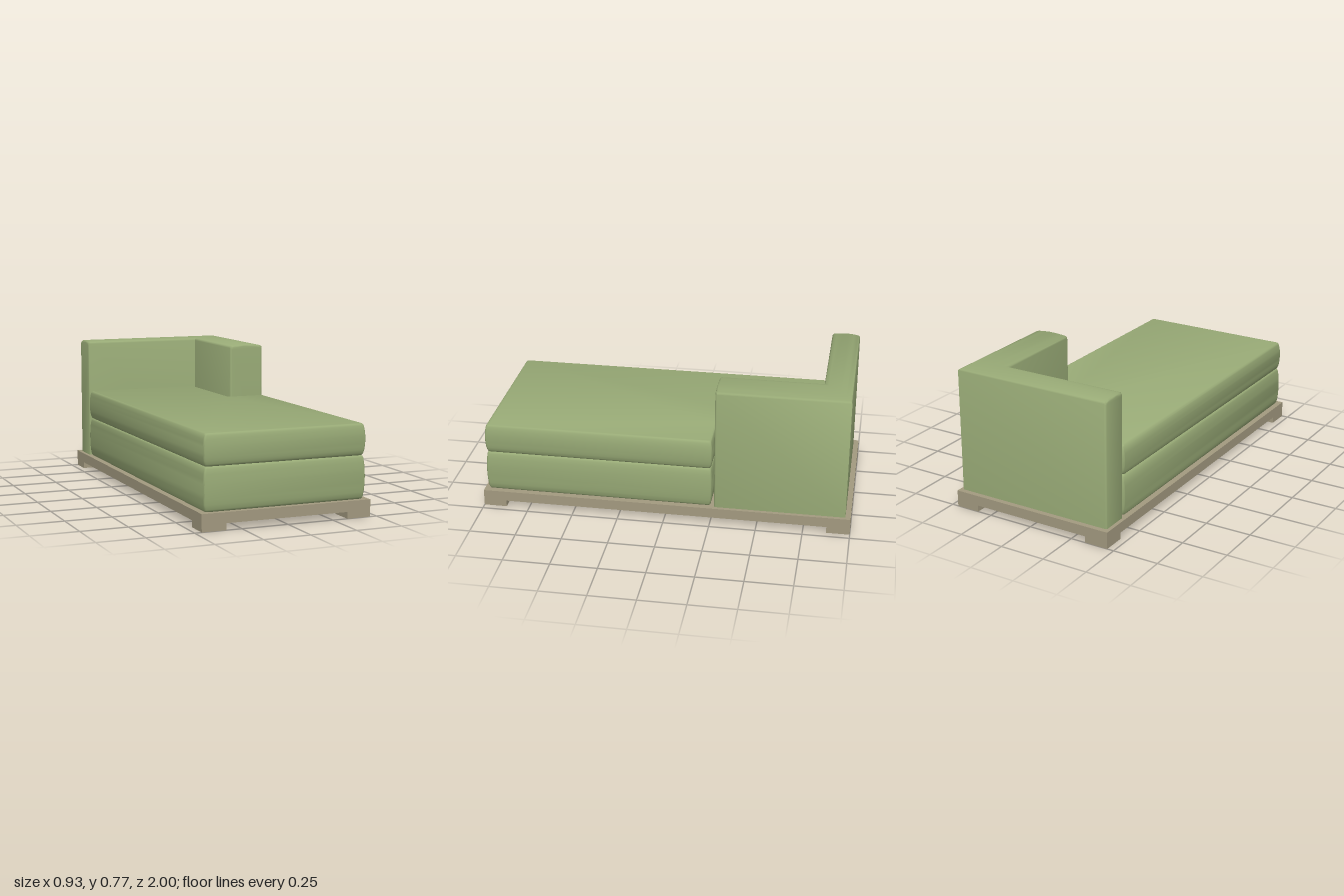
import * as THREE from 'three';
import { toCreasedNormals } from 'three/addons/utils/BufferGeometryUtils.js';

const fabric = new THREE.MeshStandardMaterial({ color: 0x98aa76 });
const wood = new THREE.MeshStandardMaterial({ color: 0xa39a80 });

// Skin a list of equal-length rings and close both ends; the 2D contours triangulate the caps.
function loft(rings, startContour, endContour) {
  const n = rings[0].length;
  const index = [];
  for (let i = 0; i < rings.length - 1; i++) {
    for (let j = 0; j < n; j++) {
      const k = (j + 1) % n;
      const a = i * n + j, b = i * n + k, c = a + n, d = b + n;
      index.push(a, b, d, a, d, c);
    }
  }
  const last = (rings.length - 1) * n;
  for (const [a, b, c] of THREE.ShapeUtils.triangulateShape(startContour, [])) index.push(a, c, b);
  for (const [a, b, c] of THREE.ShapeUtils.triangulateShape(endContour, [])) index.push(last + a, last + b, last + c);
  const geometry = new THREE.BufferGeometry();
  geometry.setAttribute('position', new THREE.Float32BufferAttribute(rings.flat(2), 3));
  geometry.setIndex(index);
  return toCreasedNormals(geometry, 0.7);
}

// L-shaped seat outline, inset by d, with softened outer corners; points are (z, x).
function seatOutline(d) {
  const x0 = -0.445, x1 = 0.443, xn = 0.23, z0 = -0.81, z1 = 0.983, zn = -0.257, r = 0.012;
  // corner z, corner x, inward z, inward x
  const corners = [
    [z0, x0, 1, 1], [z1, x0, -1, 1], [z1, x1, -1, -1],
    [zn, x1, 1, -1], [zn, xn, 1, -1], [z0, xn, 1, -1],
  ];
  const points = [];
  corners.forEach(([z, x, iz, ix], i) => {
    const cz = z + iz * d, cx = x + ix * d;
    if (i === 4) { points.push(new THREE.Vector2(cz, cx)); return; }
    const start = { '1,1': Math.PI, '-1,1': 1.5 * Math.PI, '-1,-1': 0, '1,-1': Math.PI / 2 }[`${iz},${ix}`];
    for (let k = 0; k <= 4; k++) {
      const a = start + (k / 4) * Math.PI / 2;
      points.push(new THREE.Vector2(cz + r * (iz + Math.cos(a)), cx + r * (ix + Math.sin(a))));
    }
  });
  return points;
}

// Cushion with rolled edges and gently bulging sides
function cushion(name, y0, y1) {
  const h = y1 - y0;
  const profile = [[0.016, 0], [0.011, 0.003], [0.007, 0.012]];
  for (let k = 1; k < 8; k++) {
    const t = k / 8;
    profile.push([0.006 * (2 * t - 1) ** 2, 0.012 + t * (h - 0.024)]);
  }
  profile.push([0.007, h - 0.012], [0.011, h - 0.003], [0.016, h]);
  const outlines = profile.map(([d]) => seatOutline(d));
  const rings = outlines.map((o, i) => o.map((p) => [p.y, y0 + profile[i][1], p.x]));
  const mesh = new THREE.Mesh(loft(rings, outlines[0], outlines.at(-1)), fabric);
  mesh.name = name;
  return mesh;
}

// Backrest section as (height, fraction from outer to inner side), shrunk by d
function backSection(d) {
  const crown = [[0.757, 0], [0.764, 0.025], [0.768, 0.08], [0.772, 0.22], [0.775, 0.42],
    [0.775, 0.62], [0.772, 0.85], [0.769, 0.95], [0.764, 0.985], [0.757, 1]];
  const f = d / 0.18;
  return [[0.09, 0], ...crown.map(([h, s]) => [h - d, s]), [0.09, 1]]
    .map(([h, s]) => new THREE.Vector2(h, f + s * (1 - 2 * f)));
}

// Backrest and arm as one mitred sweep around the corner
function backrest() {
  const x0 = -0.443, x1 = 0.443, z0 = -0.972, z1 = -0.268, arm = 0.203, back = 0.155;
  const ends = [[0, 0.01], [0.003, 0.004], [0.01, 0]]; // distance along, shrink
  const full = backSection(0);
  const rings = [];
  for (const [t, d] of ends) rings.push(backSection(d).map((p) => [x0 + t, p.x, z0 + p.y * back]));
  rings.push(full.map((p) => [x1 - p.y * arm, p.x, z0 + p.y * back]));
  for (const [t, d] of [...ends].reverse()) rings.push(backSection(d).map((p) => [x1 - p.y * arm, p.x, z1 - t]));
  const cap = backSection(0.01);
  const mesh = new THREE.Mesh(loft(rings, cap, cap), fabric);
  mesh.name = 'backrestAndArm';
  return mesh;
}

function block(name, w, h, d, x, y, z) {
  const mesh = new THREE.Mesh(new THREE.BoxGeometry(w, h, d), wood);
  mesh.position.set(x, y + h / 2, z);
  mesh.name = name;
  return mesh;
}

export function createModel() {
  const group = new THREE.Group();
  group.name = 'chaiseLounge';

  // Wooden platform on four corner feet
  group.add(block('platform', 0.926, 0.055, 2, 0, 0.035, 0));
  for (const sx of [-1, 1]) {
    for (const sz of [-1, 1]) {
      const name = `${sz > 0 ? 'front' : 'back'}${sx > 0 ? 'Left' : 'Right'}Foot`;
      group.add(block(name, 0.131, 0.035, 0.125, sx * 0.3975, 0, sz * 0.9375));
    }
  }

  // Upholstery
  group.add(cushion('lowerCushion', 0.09, 0.315));
  group.add(cushion('upperCushion', 0.315, 0.478));
  group.add(backrest());
  return group;
}
